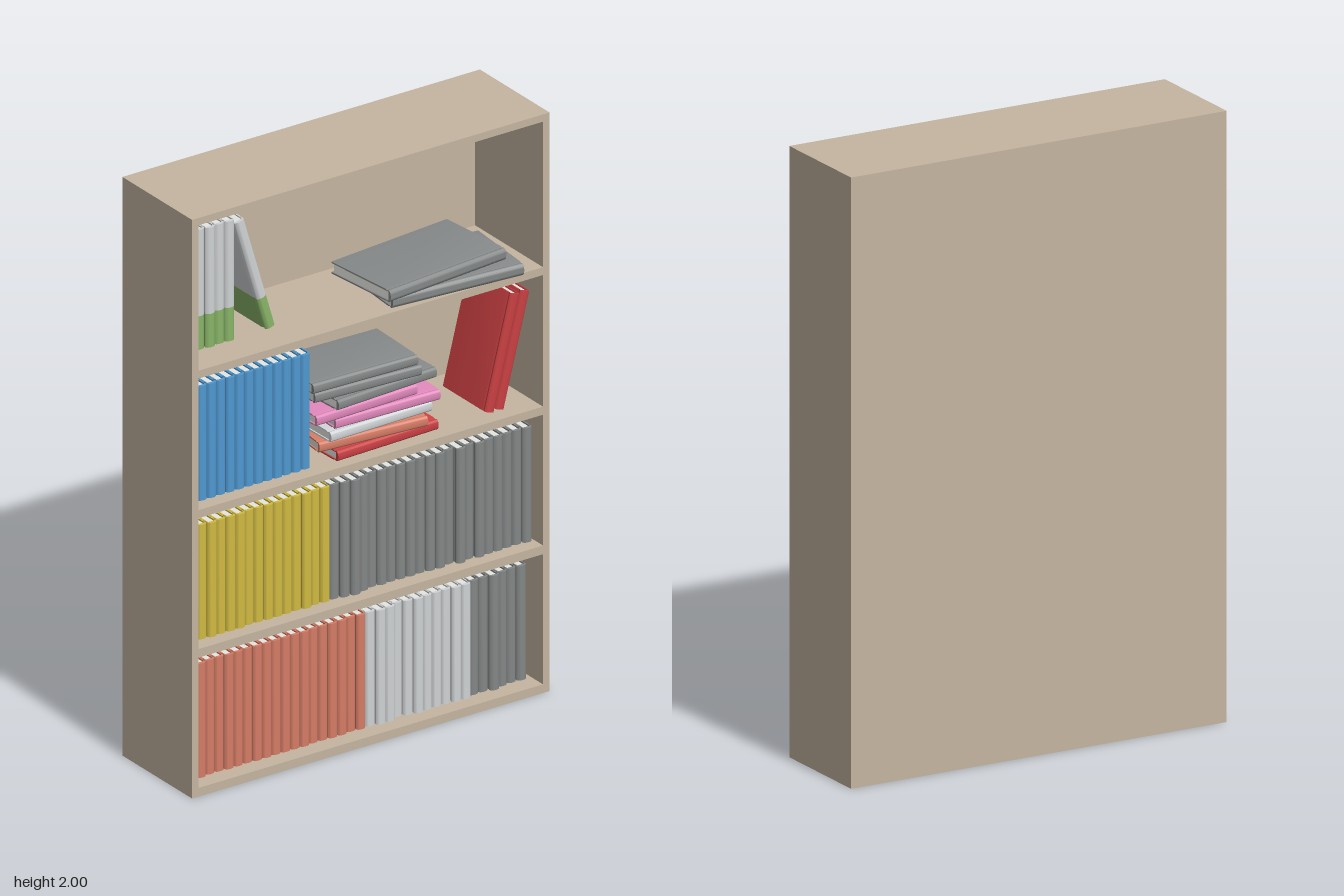
import * as THREE from 'three';
import { toCreasedNormals } from 'three/addons/utils/BufferGeometryUtils.js';

const mat = (name, color) => new THREE.MeshStandardMaterial({ name, color });
const M = {
  wood: mat('beige wood', 0xc4b5a0),
  blue: mat('blue cover', 0x4f98d0),
  yellow: mat('yellow cover', 0xd0ba42),
  orange: mat('orange cover', 0xd47c65),
  white: mat('pale grey cover', 0xcfd2d4),
  grey: mat('grey cover', 0x848787),
  red: mat('red cover', 0xc83f42),
  pink: mat('pink cover', 0xdc86b8),
  green: mat('green cover', 0x88b468),
  pages: mat('white pages', 0xe6e6e2),
};

let seed = 7;
const jitter = () => (seed = (seed * 16807) % 2147483647) / 2147483647 - 0.5;

function box(parent, name, material, size, pos) {
  const mesh = new THREE.Mesh(new THREE.BoxGeometry(...size), material);
  mesh.name = name;
  mesh.position.set(...pos);
  parent.add(mesh);
}

// U-shaped cover section: rounded spine, hinge groove, two boards
function coverSection(t, d) {
  const r = t / 2, s = new THREE.Shape();
  s.moveTo(-r, 0.011);
  s.quadraticCurveTo(-r * 0.85, 0, 0, 0);
  s.quadraticCurveTo(r * 0.85, 0, r, 0.011);
  s.lineTo(r - 0.003, 0.019);
  s.lineTo(r, 0.027);
  s.lineTo(r, d);
  s.lineTo(r - 0.005, d);
  s.lineTo(r - 0.005, 0.012);
  s.lineTo(-r + 0.005, 0.012);
  s.lineTo(-r + 0.005, d);
  s.lineTo(-r, d);
  s.lineTo(-r, 0.027);
  s.lineTo(-r + 0.003, 0.019);
  s.closePath();
  return s;
}

const cache = new Map();
function coverGeometry(t, h, d) {
  const key = [t, h, d].join();
  if (!cache.has(key)) {
    const g = new THREE.ExtrudeGeometry(coverSection(t, d), { depth: h, bevelEnabled: false, curveSegments: 5 });
    g.rotateX(-Math.PI / 2);
    cache.set(key, toCreasedNormals(g, 0.55));
  }
  return cache.get(key);
}

// Standing book: base at y = 0, spine towards +z at z = 0; bands are [material, height share]
function book(bands, t = 0.0352, h = 0.395, d = 0.237) {
  const g = new THREE.Group();
  g.name = 'book';
  let y = 0;
  for (const [material, share] of bands) {
    const cover = new THREE.Mesh(coverGeometry(t, h * share, d), material);
    cover.name = 'bookCover';
    cover.position.y = y;
    g.add(cover);
    y += h * share;
  }
  const depth = d - 0.02;
  box(g, 'bookPages', M.pages, [t - 0.0098, h - 0.01, depth], [0, h / 2, -0.012 - depth / 2]);
  return g;
}

// Upright books side by side
function row(parent, name, bands, count, x0, x1, y, z, h, d, spread = 0.008) {
  const g = new THREE.Group();
  g.name = name;
  const pitch = (x1 - x0) / count;
  for (let i = 0; i < count; i++) {
    const b = book(bands, pitch * 0.975, h, d);
    b.position.set(x0 + pitch * (i + 0.5), y, z + jitter() * spread);
    g.add(b);
  }
  parent.add(g);
}

// Book lying flat, spine to the front, turned about the middle of its spine
function flatBook(parent, material, x, y, z, turn, t, h, d) {
  const g = new THREE.Group();
  g.name = 'lyingBook';
  const b = book([[material, 1]], t, h, d);
  b.rotation.z = -Math.PI / 2;
  b.position.set(-h / 2, t / 2, 0);
  g.add(b);
  g.position.set(x, y, z);
  g.rotation.y = turn;
  parent.add(g);
}

// Leaning book resting on one bottom edge (side -1 = its -x edge, 1 = its +x edge)
function leaningBook(parent, bands, x, y, z, angle, side, t, h, d) {
  const g = new THREE.Group();
  g.name = 'leaningBook';
  const b = book(bands, t, h, d);
  b.position.x = -side * t / 2;
  g.add(b);
  g.position.set(x, y, z);
  g.rotation.z = angle;
  parent.add(g);
}

export function createModel() {
  const model = new THREE.Group();
  model.name = 'bookcase';

  // Case
  const frame = new THREE.Group();
  frame.name = 'case';
  model.add(frame);
  for (const s of [-1, 1]) box(frame, 'sidePanel', M.wood, [0.025, 2, 0.38], [s * 0.6675, 1, -0.01]);
  box(frame, 'backPanel', M.wood, [1.31, 2, 0.01], [0, 1, -0.195]);
  for (const [name, y0, y1] of [['bottomPanel', 0, 0.03], ['shelf', 0.48, 0.51], ['shelf', 0.962, 0.99],
    ['shelf', 1.445, 1.472], ['topPanel', 1.975, 2]]) {
    box(frame, name, M.wood, [1.31, y1 - y0, 0.37], [0, (y0 + y1) / 2, -0.005]);
  }

  // Upright rows
  const h = 0.395, d = 0.237;
  row(model, 'orangeBooks', [[M.orange, 1]], 19, -0.655, 0.025, 0.03, 0.122, h, d);
  row(model, 'paleBooks', [[M.white, 1]], 11, 0.025, 0.42, 0.03, 0.122, h, d, 0.02);
  row(model, 'greyBooks', [[M.grey, 1]], 6, 0.42, 0.64, 0.03, 0.122, h, d, 0.02);
  row(model, 'yellowBooks', [[M.yellow, 1]], 15, -0.655, -0.115, 0.51, 0.13, h, d);
  row(model, 'greyBooks', [[M.grey, 1]], 21, -0.115, 0.65, 0.51, 0.13, h, d, 0.025);
  row(model, 'blueBooks', [[M.blue, 1]], 13, -0.655, -0.19, 0.99, 0.13, h, d, 0.003);

  // Top shelf two-tone books, the last one leaning
  const twoTone = [[M.green, 0.28], [M.white, 0.72]];
  row(model, 'twoToneBooks', twoTone, 6, -0.655, -0.43, 1.472, 0.06, 0.414, 0.245, 0.006);
  leaningBook(model, twoTone, -0.312, 1.472, 0.06, 0.288, -1, 0.0365, 0.414, 0.245);

  // Large books lying on the top shelf
  flatBook(model, M.grey, 0.333, 1.472, 0.181, -0.08, 0.041, 0.475, 0.285);
  flatBook(model, M.grey, 0.302, 1.514, 0.171, 0.1, 0.041, 0.475, 0.285);

  // Untidy stack
  const stack = new THREE.Group();
  stack.name = 'bookStack';
  model.add(stack);
  [[M.red, 0.095, 0.03], [M.orange, 0.04, -0.09], [M.white, 0.07, 0.02], [M.pink, 0.095, -0.03],
    [M.pink, 0.015, 0.03], [M.grey, 0.093, 0.06], [M.grey, 0.02, -0.06], [M.grey, 0.01, -0.03],
  ].forEach(([m, x, turn], i) => flatBook(stack, m, x, 0.99 + i * 0.0358, 0.14, turn, 0.0352, 0.39, d));

  // Two red books leaning on the side panel
  for (const x of [0.508, 0.546]) leaningBook(model, [[M.red, 1]], x, 0.99, 0.13, -0.25, 1, 0.0352, h, d);

  return model;
}
